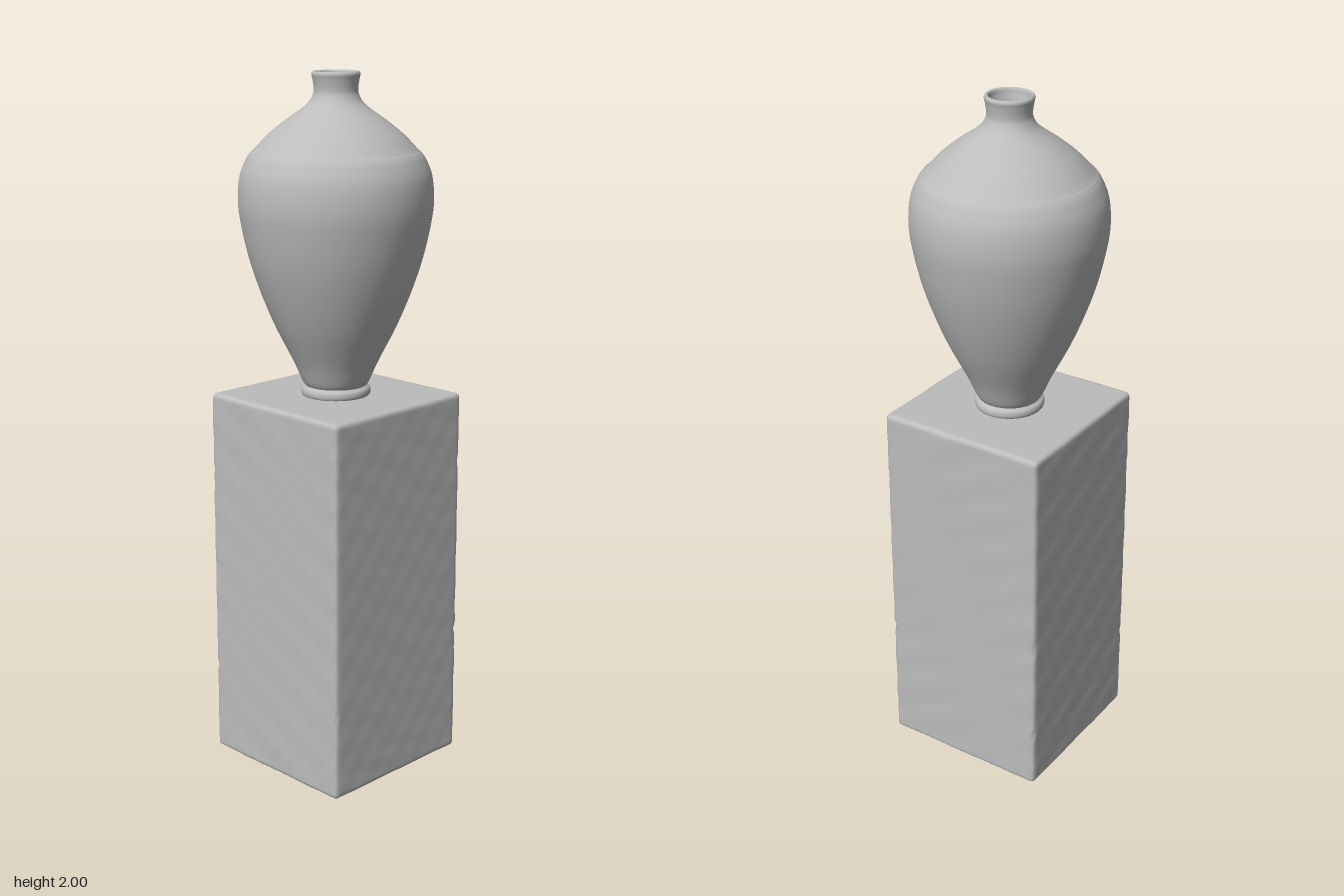
import * as THREE from 'three';
import { mergeVertices } from 'three/addons/utils/BufferGeometryUtils.js';

const stone = new THREE.MeshStandardMaterial({ color: 0xbcbcbc });
stone.name = 'grey stone';

const HALF = 0.253, TOP = 1.1, EDGE = 0.014;

// worn spots on the pedestal edges: x, y, z, radius
const chips = [
  [HALF, 0.9, HALF, 0.014], [HALF, 0.38, HALF, 0.015],
  [-HALF, 0.87, -HALF, 0.013], [-HALF, 0.26, -HALF, 0.014],
  [HALF, 0.48, -HALF, 0.014], [HALF, 0.18, -HALF, 0.012],
  [-HALF, 0.25, HALF, 0.012], [HALF, TOP, 0.06, 0.016], [HALF, TOP, 0.11, 0.012],
];

// gentle unevenness of the hewn faces
const ripple = (x, y, z) =>
  0.0005 * (Math.sin(31 * x + 47 * y + 29 * z) + Math.sin(23 * x - 71 * y + 37 * z + 1.7)
    * Math.sin(43 * x + 19 * y - 53 * z));

function pedestalGeometry() {
  const half = new THREE.Vector3(HALF, TOP / 2, HALF);
  const limit = half.clone().subScalar(EDGE);
  let geo = new THREE.BoxGeometry(2, 2, 2, 32, 80, 32);
  geo.deleteAttribute('uv');
  geo.deleteAttribute('normal');
  geo = mergeVertices(geo);
  const pos = geo.attributes.position;
  const p = new THREE.Vector3(), core = new THREE.Vector3(), n = new THREE.Vector3();
  const ease = (t) => Math.sin(t * Math.PI / 2); // packs rows towards the edges
  for (let i = 0; i < pos.count; i++) {
    p.fromBufferAttribute(pos, i);
    p.set(ease(p.x), ease(p.y), ease(p.z)).multiply(half);
    core.copy(p).clamp(limit.clone().negate(), limit);
    n.copy(p).sub(core).normalize();
    p.copy(core).addScaledVector(n, EDGE);
    const flat = Math.abs(n.y) > 0.9 ? 0 : 1;
    p.addScaledVector(n, flat * ripple(p.x, p.y, p.z));
    p.y += TOP / 2;
    for (const [x, y, z, r] of chips) {
      const d = Math.hypot(p.x - x, p.y - y, p.z - z);
      if (d < r) p.addScaledVector(n, -0.8 * (r - d));
    }
    pos.setXYZ(i, p.x, p.y, p.z);
  }
  geo.computeVertexNormals();
  return geo;
}

const spline = (pts, count) =>
  new THREE.SplineCurve(pts.map(([r, y]) => new THREE.Vector2(r, y))).getPoints(count);

function lathe(points) {
  return new THREE.LatheGeometry(points, 96);
}

export function createModel() {
  const group = new THREE.Group();
  const add = (name, geo) => {
    const mesh = new THREE.Mesh(geo, stone);
    mesh.name = name;
    group.add(mesh);
  };

  add('pedestal', pedestalGeometry());

  // rounded foot ring
  add('vaseFoot', lathe(spline([
    [0.088, 1.095], [0.096, 1.1], [0.099, 1.109], [0.097, 1.12], [0.09, 1.126], [0.086, 1.13],
  ], 20)));

  // body from the foot to the shoulder ridge
  add('vaseBody', lathe(spline([
    [0.086, 1.126], [0.093, 1.136], [0.1, 1.15], [0.122, 1.2], [0.172, 1.3], [0.213, 1.4],
    [0.245, 1.5], [0.266, 1.6], [0.271, 1.66], [0.265, 1.72], [0.247, 1.765], [0.234, 1.783],
  ], 60)));

  // shoulder rising to the narrow neck and lip
  add('vaseShoulder', lathe(spline([
    [0.234, 1.783], [0.229, 1.787], [0.222, 1.794], [0.185, 1.832], [0.14, 1.868],
    [0.1, 1.896], [0.076, 1.916], [0.063, 1.938], [0.061, 1.955], [0.064, 1.978],
    [0.067, 1.992], [0.064, 1.999], [0.06, 2.0], [0.056, 1.997], [0.054, 1.985],
  ], 80)));

  // hollow inside, wall running down to the floor
  add('vaseInside', lathe([...spline([
    [0.054, 1.985], [0.05, 1.965], [0.05, 1.935], [0.085, 1.89], [0.17, 1.825],
    [0.235, 1.75], [0.255, 1.66], [0.23, 1.5], [0.16, 1.31], [0.09, 1.17],
  ], 50), new THREE.Vector2(0.08, 1.16), new THREE.Vector2(0, 1.158)]));

  return group;
}
